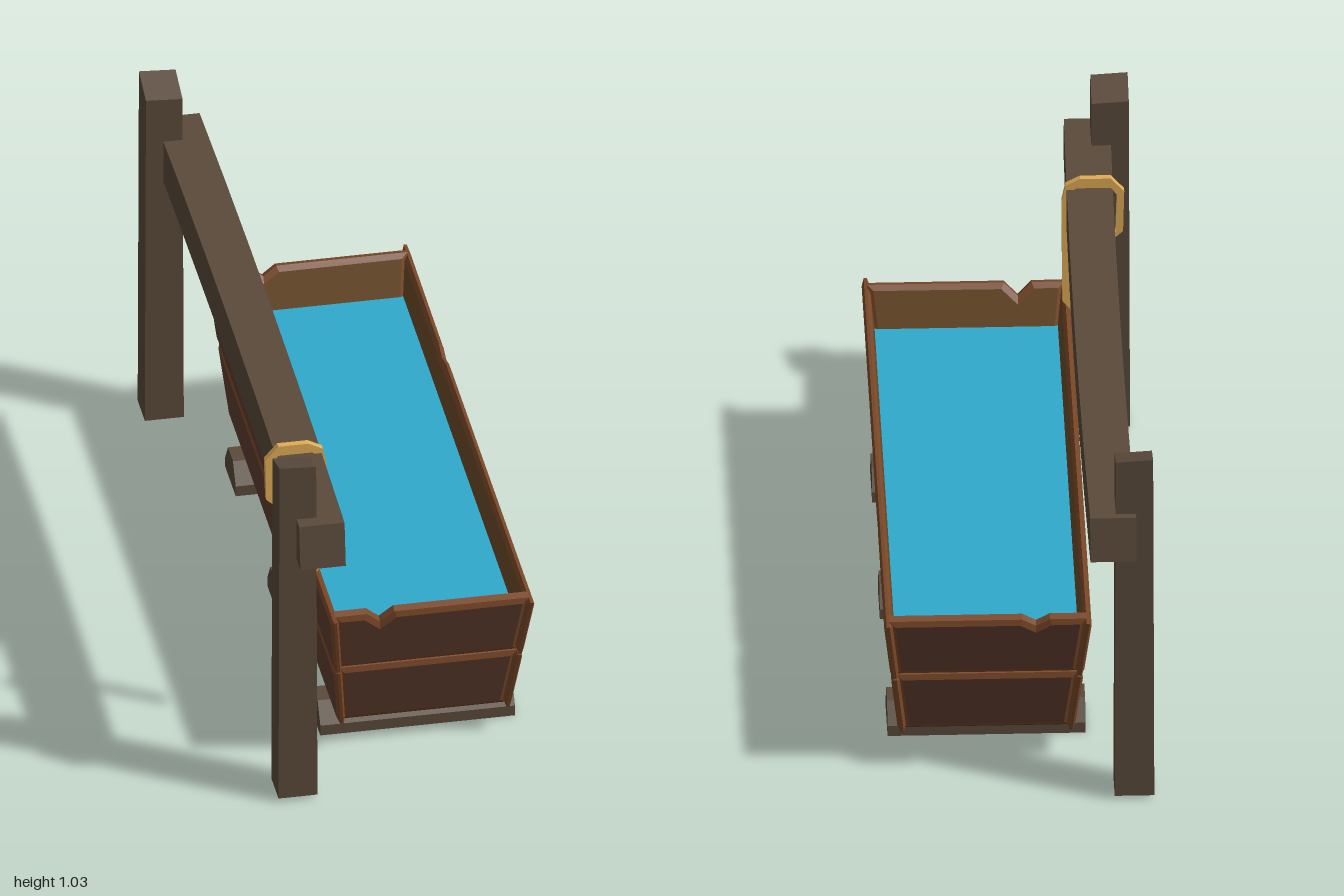
import * as THREE from 'three';

const mat = (color, side = THREE.FrontSide) =>
  new THREE.MeshStandardMaterial({ color, flatShading: true, side });

const timber = mat(0x5a4a3b);
const panel = mat(0x613f31);
const trim = mat(0x7a4828);
const inner = mat(0x6b4c28);
const floorWood = mat(0x35281a);
const waterMat = mat(0x2fa9cc);
const strapMat = mat(0xe0ac55, THREE.DoubleSide);

const CX = 0.1, CZ = 0.042;      // trough centre
const Y0 = 0.08, Y1 = 0.472;     // trough bottom and rim

function add(parent, name, geometry, material, x = 0, y = 0, z = 0) {
  const mesh = new THREE.Mesh(geometry, material);
  mesh.name = name;
  mesh.position.set(x, y, z);
  parent.add(mesh);
  return mesh;
}

// Moves every vertex of a geometry by a rule
function warp(geometry, rule) {
  const p = geometry.attributes.position;
  const v = new THREE.Vector3();
  for (let i = 0; i < p.count; i++) {
    rule(v.fromBufferAttribute(p, i));
    p.setXYZ(i, v.x, v.y, v.z);
  }
  geometry.computeVertexNormals();
  return geometry;
}

// Bevelled plank whose ends flare with height; notch = [centre, half width, depth]
function plank(halfAt, s0, s1, thickness, notch) {
  const shape = new THREE.Shape();
  shape.moveTo(-halfAt(s0), s0);
  shape.lineTo(halfAt(s0), s0);
  shape.lineTo(halfAt(s1), s1);
  if (notch) {
    const [c, w, d] = notch;
    shape.lineTo(c + w, s1);
    shape.lineTo(c, s1 - d);
    shape.lineTo(c - w, s1);
  }
  shape.lineTo(-halfAt(s1), s1);
  const bevel = 0.007;
  const g = new THREE.ExtrudeGeometry(shape, {
    depth: thickness - 2 * bevel, bevelEnabled: true, bevelSegments: 1,
    bevelThickness: bevel, bevelSize: 0.016, bevelOffset: -0.016,
  });
  g.translate(0, 0, bevel - thickness);
  // Separate materials for the inner face, outer face and edges
  const [caps, edges] = g.groups;
  g.clearGroups();
  g.addGroup(caps.start, caps.count / 2, 0);
  g.addGroup(caps.start + caps.count / 2, caps.count / 2, 1);
  g.addGroup(edges.start, edges.count, 2);
  return g;
}

// Two rows of planks leaning outwards
function wall(name, yaw, dist, half, thickness, notch) {
  const turn = new THREE.Group();
  turn.name = name;
  turn.rotation.y = yaw;
  const lean = new THREE.Group();
  lean.position.set(0, Y0, dist[0]);
  lean.rotation.x = Math.atan2(dist[1] - dist[0], Y1 - Y0);
  turn.add(lean);
  const h = Math.hypot(dist[1] - dist[0], Y1 - Y0);
  const halfAt = s => half[0] + (half[1] - half[0]) * s / h;
  const mats = [inner, panel, trim];
  add(lean, 'lowerPlank', plank(halfAt, 0, h * 0.497, thickness), mats);
  add(lean, 'upperPlank', plank(halfAt, h * 0.51, h, thickness, notch), mats);
  return turn;
}

function makeTrough() {
  const g = new THREE.Group();
  g.name = 'trough';
  g.position.set(CX, 0, CZ);
  const endD = [0.735, 0.855], endH = [0.216, 0.257];
  const sideD = [0.23, 0.271], sideH = [0.755, 0.875];
  g.add(
    wall('frontEnd', 0, endD, endH, 0.035, [-0.135, 0.036, 0.036]),
    wall('backEnd', Math.PI, endD, endH, 0.035, [0.126, 0.036, 0.025]),
    wall('leftSide', Math.PI / 2, sideD, sideH, 0.022, [0.34, 0.05, 0.011]),
    wall('rightSide', -Math.PI / 2, sideD, sideH, 0.022)
  );
  add(g, 'floor', new THREE.BoxGeometry(0.43, 0.02, 1.46), floorWood, 0, Y0 + 0.012, 0);
  const water = new THREE.PlaneGeometry(0.492, 1.6);
  water.rotateX(-Math.PI / 2);
  add(g, 'water', water, waterMat, 0, 0.37, 0);
  return g;
}

// Chamfered cross-beam under the trough
function makeSleeper(z) {
  const w = 0.0725, t = 0.034;
  const profile = new THREE.Shape([[-w, 0], [w, 0], [w, 0.03], [t, 0.084], [-t, 0.084], [-w, 0.03]]
    .map(([x, y]) => new THREE.Vector2(x, y)));
  const g = new THREE.ExtrudeGeometry(profile, { depth: 0.515, bevelEnabled: false });
  g.translate(0, 0, -0.2575).rotateY(Math.PI / 2);
  const mesh = new THREE.Mesh(g, timber);
  mesh.name = 'sleeper';
  mesh.position.set(0.096, 0, z);
  return mesh;
}

// Upright with a slanted top and a slight taper
function makePost(name, parent, z, dir) {
  const g = warp(new THREE.BoxGeometry(0.1, 1, 0.1), v => {
    if (v.y > 0) {
      v.y += dir * v.z * 0.3 - v.x * 0.06;
      v.x *= 0.97;
      v.z *= 0.97;
    } else {
      v.x *= 1.03;
    }
  });
  add(parent, name, g, timber, -0.277, 0.511, z);
}

// Rail with slanted ends and a worn, slightly sagging middle
function makeRail(parent) {
  const L = 2.02;
  const g = warp(new THREE.BoxGeometry(0.12, 0.122, L, 1, 1, 6), v => {
    const t = 2 * v.z / L;
    if (v.y < 0) v.y -= 0.006 * (1 - t * t);
    if (Math.abs(t) > 0.99) v.z += Math.sign(t) * (v.y < 0 ? 0.008 : -0.01);
    v.x += 0.008 * (1 - t * t);
  });
  add(parent, 'rail', g, timber, -0.221, 0.806, 0.047);
}

// Flat loop around the rail with a hanging tail
function makeStrap(parent) {
  const pts = list => list.map(([x, y]) => new THREE.Vector2(x, y));
  const shape = new THREE.Shape(pts([
    [-0.05, 0.1], [0.03, 0.1], [0.068, 0.08], [0.078, 0.03], [0.076, -0.27], [0.04, -0.312],
    [0.04, -0.09], [0, -0.1], [-0.05, -0.09], [-0.082, -0.06], [-0.085, 0.06],
  ]));
  shape.holes.push(new THREE.Path(pts([
    [-0.062, -0.062], [0.05, -0.062], [0.064, -0.04], [0.064, 0.05], [0.04, 0.072], [-0.05, 0.072], [-0.066, 0.05],
  ])));
  const g = new THREE.ExtrudeGeometry(shape, { depth: 0.018, bevelEnabled: false });
  add(parent, 'strap', g, strapMat, -0.221, 0.8, 0.69);
}

export function createModel() {
  const model = new THREE.Group();
  model.name = 'wateringTrough';
  const body = new THREE.Group();
  body.name = 'troughAndHitchingRail';
  body.rotation.y = -THREE.MathUtils.degToRad(14);
  model.add(body);

  body.add(makeTrough());
  for (const z of [0.644, 0.06, -0.524]) body.add(makeSleeper(z));
  makePost('frontPost', body, 0.96, 1);
  makePost('backPost', body, -0.884, -1);
  makeRail(body);
  makeStrap(body);
  return model;
}
